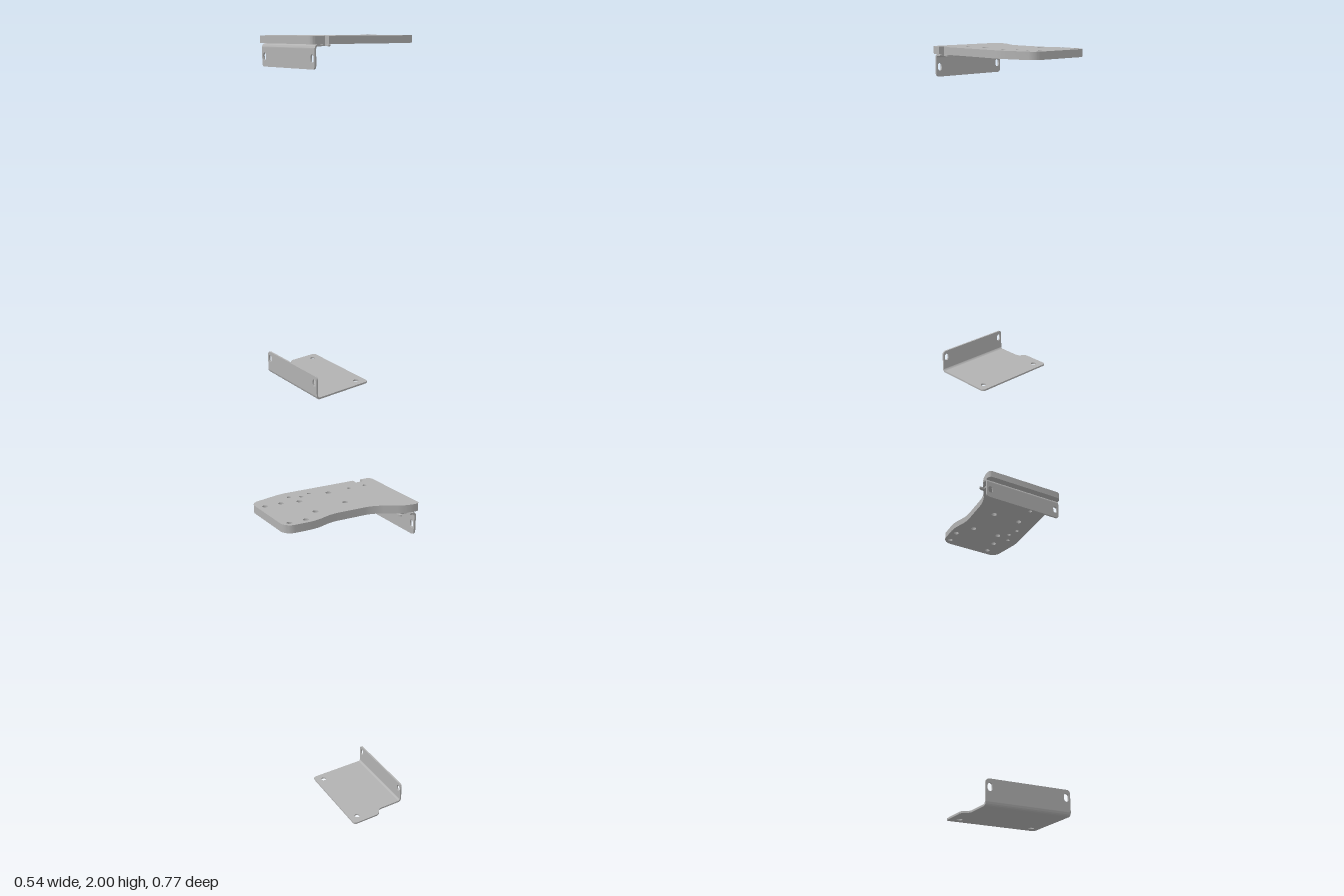
import * as THREE from 'three';
import { toCreasedNormals } from 'three/addons/utils/BufferGeometryUtils.js';

const LEFT = 0.262, RIGHT = -0.228;   // ends of the folded flanges
const THICK = 0.01, BEND = 0.022, FOLD_Z = 0.338;

// Closed outline from [x, y, corner size] points
function outline(points) {
  const path = new THREE.Shape();
  const n = points.length;
  points.forEach(([x, y, r = 0], i) => {
    const p = new THREE.Vector2(x, y);
    const toward = (q, d) => p.clone().add(new THREE.Vector2(q[0] - x, q[1] - y).setLength(d));
    const prev = points[(i + n - 1) % n], next = points[(i + 1) % n];
    const a = r ? toward(prev, r) : p;
    if (i === 0) path.moveTo(a.x, a.y); else path.lineTo(a.x, a.y);
    if (r) {
      const c = toward(prev, r * 0.45), d = toward(next, r * 0.45), b = toward(next, r);
      path.bezierCurveTo(c.x, c.y, d.x, d.y, b.x, b.y);
    }
  });
  path.closePath();
  return path;
}

function drill(shape, x, y, r) {
  shape.holes.push(new THREE.Path().absarc(x, y, r, 0, Math.PI * 2, true));
}

// Upright slot with rounded ends
function slot(shape, x, y, r, half) {
  const p = new THREE.Path();
  p.absarc(x, y + half, r, 0, Math.PI, false);
  p.absarc(x, y - half, r, Math.PI, Math.PI * 2, false);
  p.closePath();
  shape.holes.push(p);
}

function extrude(shape, depth) {
  return new THREE.ExtrudeGeometry(shape, { depth, bevelEnabled: false, curveSegments: 10 });
}

// Horizontal sheet: shape holds (x, z), top face at the given height
function sheet(shape, depth, top) {
  return extrude(shape, depth).rotateX(Math.PI / 2).translate(0, top, 0);
}

export function createModel() {
  const model = new THREE.Group();
  model.name = 'mountingPlates';
  const metal = new THREE.MeshStandardMaterial({ color: 0xb2b2b2 });
  metal.name = 'grey metal';

  const add = (parent, name, geometry) => {
    const mesh = new THREE.Mesh(toCreasedNormals(geometry, 0.6), metal);
    mesh.name = name;
    parent.add(mesh);
  };

  // Thick top plate with waist, tapered corner and side notch
  const plate = outline([
    [0.267, 0.384, 0.027], [-0.226, 0.384, 0.025], [-0.226, 0.298, 0.045],
    [-0.139, 0.149, 0.05], [-0.139, -0.098, 0.035], [-0.18, -0.212, 0.035],
    [-0.18, -0.385, 0.056], [0.2125, -0.385, 0.045], [0.267, -0.185, 0.03],
    [0.267, 0.27], [0.232, 0.27], [0.232, 0.317], [0.267, 0.317],
  ]);
  for (const z of [-0.342, -0.25]) for (const x of [-0.142, 0.133]) drill(plate, x, z, 0.015);
  for (const [x, z] of [[-0.064, -0.152], [0.113, -0.152], [-0.019, 0.05], [0.158, 0.05]]) drill(plate, x, z, 0.016);
  for (const [x, z] of [[0.197, -0.17], [0.173, -0.109], [0.197, -0.048], [0.166, 0.185], [0.166, 0.284]]) drill(plate, x, z, 0.0115);
  add(model, 'topPlate', sheet(plate, 0.042, 2));

  // Folded bracket: dir is +1 when the flange rises, -1 when it hangs
  function bracket(name, base, y0, dir, height, slotY) {
    const group = new THREE.Group();
    group.name = name;
    add(group, 'base', sheet(base, THICK, dir > 0 ? y0 + THICK : y0));

    // Quarter-round fold
    const fold = new THREE.Shape();
    const cy = y0 + dir * BEND;
    fold.absarc(FOLD_Z, cy, BEND, -dir * Math.PI / 2, 0, dir < 0);
    fold.absarc(FOLD_Z, cy, BEND - THICK, 0, -dir * Math.PI / 2, dir > 0);
    fold.closePath();
    add(group, 'fold', extrude(fold, LEFT - RIGHT).rotateY(-Math.PI / 2).translate(LEFT, 0, 0));

    // Upright flange with two slots
    const end = y0 + dir * height;
    const flange = outline([[RIGHT, cy], [LEFT, cy], [LEFT, end, 0.02], [RIGHT, end, 0.02]]);
    for (const x of [-0.204, 0.238]) slot(flange, x, y0 + dir * slotY, 0.0135, 0.008);
    add(group, 'flange', extrude(flange, THICK).translate(0, 0, FOLD_Z + BEND - THICK));
    model.add(group);
  }

  // Narrow strip under the top plate, notched at both ends
  const strip = outline([
    [-0.23, 0.252, 0.018], [LEFT, 0.252, 0.012], [LEFT, 0.27], [0.232, 0.27],
    [0.232, 0.317], [LEFT, 0.317], [LEFT, FOLD_Z], [-0.234, FOLD_Z],
    [-0.234, 0.317], [-0.2, 0.317], [-0.2, 0.27], [-0.23, 0.27],
  ]);
  bracket('upperBracket', strip, 1.957, -1, 0.127, 0.072);

  // Wide tray at the bottom with a stepped side
  const tray = outline([
    [-0.27, -0.018, 0.02], [LEFT, -0.018, 0.02], [LEFT, FOLD_Z], [RIGHT, FOLD_Z],
    [RIGHT, 0.19, 0.015], [-0.27, 0.163, 0.015],
  ]);
  for (const x of [-0.215, 0.212]) drill(tray, x, 0.035, 0.016);
  bracket('lowerBracket', tray, 0, 1, 0.137, 0.095);

  return model;
}
